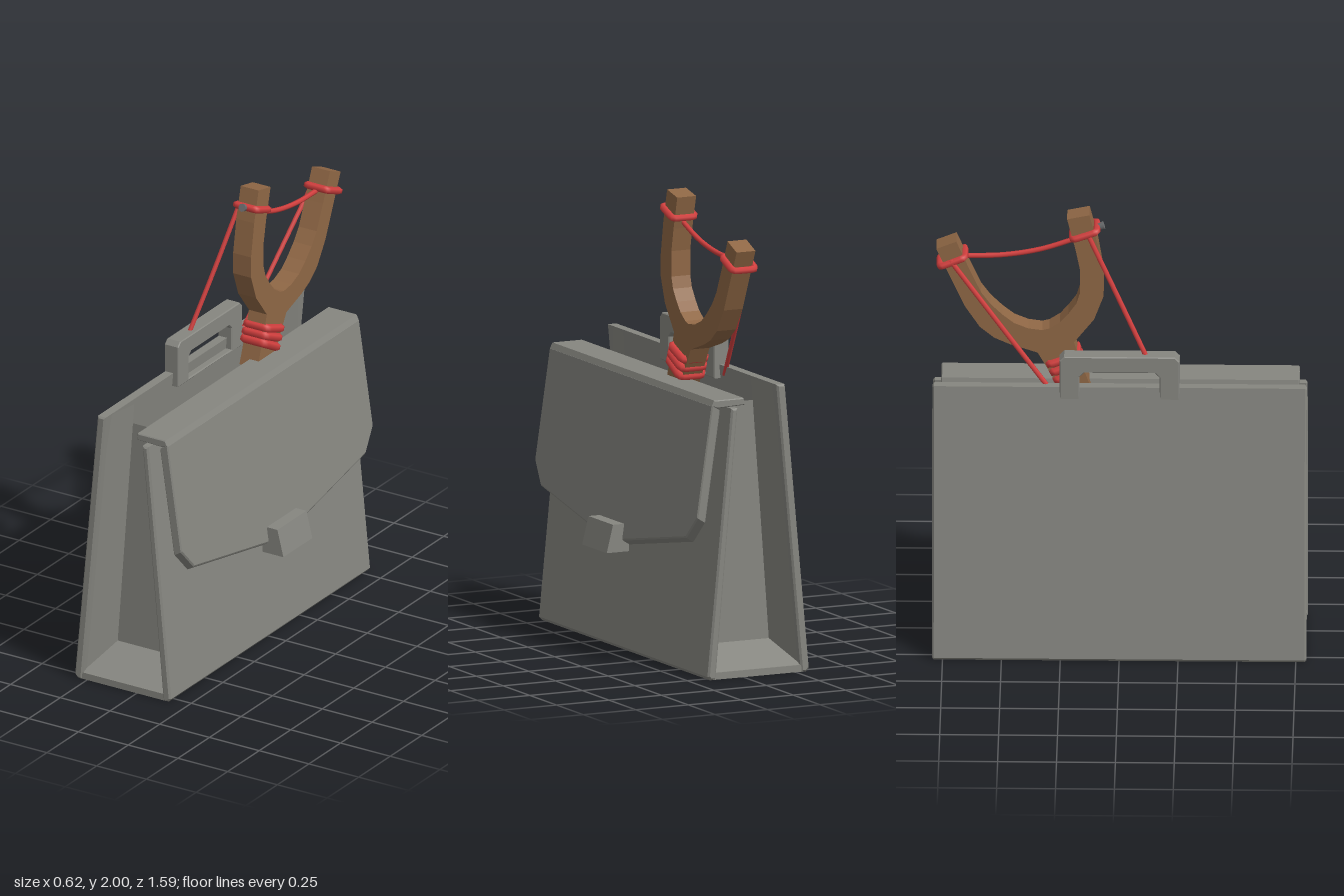
import * as THREE from 'three';

const mat = (name, color, side = THREE.FrontSide) => {
  const m = new THREE.MeshStandardMaterial({ color, side });
  m.name = name;
  return m;
};

export function createModel() {
  const grey = mat('grey leather', 0x868680);
  const wood = mat('brown wood', 0x8f6745);
  const red = mat('red rubber', 0xd4403f);
  const steel = mat('dark steel', 0x6c6e70);
  const model = new THREE.Group();

  const add = (name, geometry, material, parent = model) => {
    const mesh = new THREE.Mesh(geometry, material);
    mesh.name = name;
    parent.add(mesh);
    return mesh;
  };
  const shapeOf = pts => new THREE.Shape(pts.map(p => new THREE.Vector2(...p)));
  const extrude = (shape, depth, bevel = 0) => new THREE.ExtrudeGeometry(shape, {
    depth: depth - 2 * bevel, bevelEnabled: bevel > 0, bevelSize: bevel,
    bevelThickness: bevel, bevelOffset: -bevel, bevelSegments: 1,
  }).translate(0, 0, bevel);
  // profile in x,y run along z, centred
  const alongZ = (pts, depth, bevel) => extrude(shapeOf(pts), depth, bevel).translate(0, 0, -depth / 2);
  // outline in -z,y given thickness along x
  const alongX = (shape, depth, x, bevel) => extrude(shape, depth, bevel).rotateY(Math.PI / 2).translate(x, 0, 0);

  // ---- Briefcase ----
  const briefcase = new THREE.Group();
  briefcase.name = 'briefcase';
  model.add(briefcase);

  add('backPanel', alongZ([[-0.31, 0.015], [-0.295, 0], [-0.272, 0], [-0.155, 1.25], [-0.195, 1.25]], 1.59, 0.008), grey, briefcase);
  add('frontPanel', alongZ([[0.135, 0], [0.16, 0], [0.173, 0.015], [0.06, 1.165], [0.03, 1.165]], 1.59, 0.008), grey, briefcase);
  add('bottom', new THREE.PlaneGeometry(0.45, 1.57).rotateX(Math.PI / 2).translate(-0.068, 0.001, 0), grey, briefcase);

  // recessed ends: sloping border leading in to an upright gusset
  const rim = [[-0.163, 1.245], [-0.276, 0.03], [0.139, 0.03], [0.033, 1.16]];
  const inner = [[-0.132, 1.245], [-0.215, 0.12], [0.08, 0.12], [0, 1.155]];
  const gusset = [[-0.139, 1.155], ...inner.slice(1)];
  for (const s of [1, -1]) {
    const pos = [];
    const quad = (...q) => {
      const order = s > 0 ? [0, 1, 2, 0, 2, 3] : [0, 2, 1, 0, 3, 2];
      order.forEach(i => pos.push(q[i][0], q[i][1], q[i][2] * s));
    };
    const R = rim.map(p => [...p, 0.785]);
    const I = inner.map(p => [...p, 0.6]);
    for (let i = 0; i < 3; i++) quad(R[i], R[i + 1], I[i + 1], I[i]);
    quad(...gusset.map(p => [...p, 0.6]));
    const g = new THREE.BufferGeometry();
    g.setAttribute('position', new THREE.Float32BufferAttribute(pos, 3));
    g.computeVertexNormals();
    add('recessedEnd', g, grey, briefcase);
    add('endSill', new THREE.BoxGeometry(0.43, 0.03, 0.02).translate(-0.068, 0.016, s * 0.78), grey, briefcase);
  }

  // flap: top cover and sloping pointed front
  add('flapTop', alongZ([[-0.02, 1.17], [0.11, 1.165], [0.137, 1.175], [0.125, 1.2], [-0.015, 1.2]], 1.52, 0.004), grey, briefcase);
  const thick = 0.04;
  const flap = alongX(shapeOf([
    [-0.76, 1.18], [-0.76, 0.7], [-0.68, 0.605], [-0.11, 0.5], [0.11, 0.5], [0.68, 0.605], [0.76, 0.7], [0.76, 1.18],
  ]), thick, 0, 0.005);
  const fp = flap.attributes.position;
  for (let i = 0; i < fp.count; i++) {
    const w = fp.getX(i), y = fp.getY(i);
    fp.setXY(i, 0.097 + w + (1.18 - y) * 0.147, y - 0.025 * (1 - w / thick));
  }
  flap.computeVertexNormals();
  add('flapFront', flap, grey, briefcase);
  add('clasp', alongZ([[0.205, 0.45], [0.31, 0.45], [0.28, 0.57], [0.2, 0.57]], 0.23, 0), grey, briefcase);

  // carrying handle with an opening
  const handle = shapeOf([[-0.255, 1.19], [0.255, 1.19], [0.255, 1.375], [0.235, 1.395], [-0.235, 1.395], [-0.255, 1.375]]);
  handle.holes.push(new THREE.Path([[-0.17, 1.2], [-0.17, 1.3], [-0.15, 1.32], [0.15, 1.32], [0.17, 1.3], [0.17, 1.2]]
    .map(p => new THREE.Vector2(...p))));
  add('handle', alongX(handle, 0.07, -0.2, 0.004), grey, briefcase);

  // ---- Slingshot ----
  const slingshot = new THREE.Group();
  slingshot.name = 'slingshot';
  model.add(slingshot);

  add('fork', alongX(shapeOf([
    [0.12, 1.17], [0.24, 1.155], [0.28, 1.22], [0.35, 1.345], [0.47, 1.385], [0.535, 1.415], [0.595, 1.465], [0.66, 1.565],
    [0.72, 1.7], [0.78, 1.835], [0.695, 1.87], [0.64, 1.74], [0.59, 1.63], [0.55, 1.575], [0.5, 1.525], [0.45, 1.485],
    [0.39, 1.46], [0.33, 1.452], [0.3, 1.46], [0.255, 1.49], [0.22, 1.53], [0.185, 1.58], [0.17, 1.63], [0.17, 1.74],
    [0.19, 1.84], [0.225, 1.98], [0.13, 2], [0.095, 1.86], [0.07, 1.71], [0.07, 1.615], [0.11, 1.505], [0.195, 1.395], [0.17, 1.31],
  ]), 0.09, -0.06), wood, slingshot);

  // rubber loops wound around the wood
  const loop = (name, y, z, half, tilt, r = 0.016) => {
    const hx = 0.053, c = 0.012;
    const pts = [[hx, half - c], [hx - c, half], [c - hx, half], [-hx, half - c],
      [-hx, c - half], [c - hx, -half], [hx - c, -half], [hx, c - half]]
      .map(([a, b]) => new THREE.Vector3(a, 0, b));
    const curve = new THREE.CatmullRomCurve3(pts, true, 'catmullrom', 0.2);
    const m = add(name, new THREE.TubeGeometry(curve, 40, r, 6, true), red, slingshot);
    m.position.set(-0.015, y, z);
    m.rotation.x = tilt;
  };
  loop('frontArmLoop', 1.905, -0.15, 0.054, -0.35);
  loop('rearArmLoop', 1.775, -0.712, 0.056, -0.4);
  for (let i = -1; i <= 1; i++) loop('stemLoop', 1.28 + i * 0.034, -0.228 - i * 0.014, 0.062, -0.43 + i * 0.07, 0.019);

  // rubber strings
  const string = (name, ...pts) => add(name, new THREE.TubeGeometry(
    new THREE.CatmullRomCurve3(pts.map(p => new THREE.Vector3(...p))), 20, 0.011, 6), red, slingshot);
  string('forkString', [-0.015, 1.87, -0.18], [-0.015, 1.815, -0.34], [-0.015, 1.787, -0.5], [-0.015, 1.782, -0.67]);
  string('handleString', [-0.07, 1.91, -0.135], [-0.115, 1.645, -0.01], [-0.163, 1.39, 0.11]);
  string('caseString', [-0.07, 1.785, -0.72], [-0.118, 1.5, -0.505], [-0.165, 1.21, -0.285]);

  // small nail on the front arm
  const nail = add('nail', new THREE.CylinderGeometry(0.018, 0.012, 0.04, 8).rotateX(Math.PI / 2), steel, slingshot);
  nail.position.set(-0.015, 1.925, -0.088);
  nail.rotation.x = -0.35;

  return model;
}
